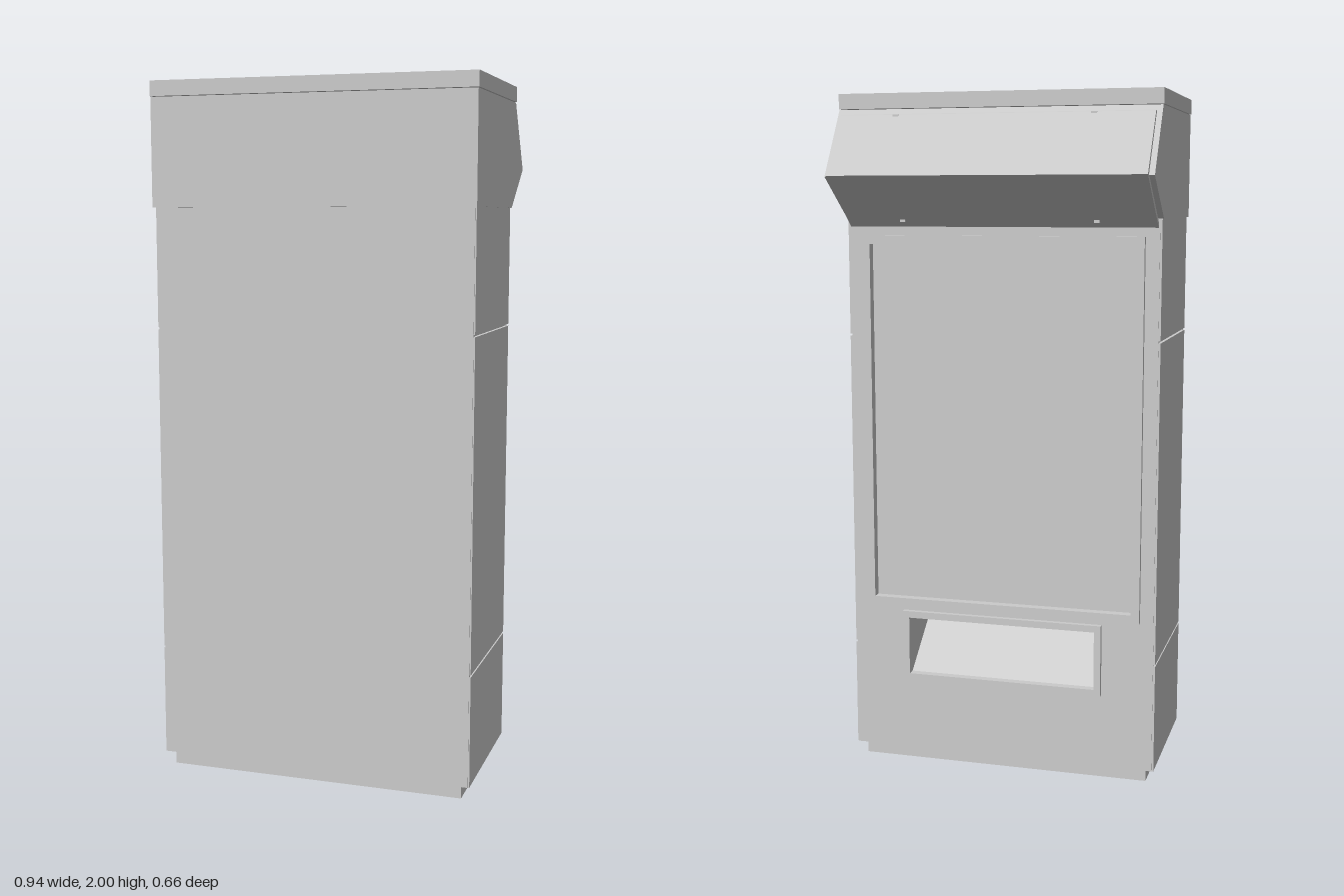
import * as THREE from 'three';

const material = new THREE.MeshStandardMaterial({ color: 0xcccccc, side: THREE.DoubleSide });

// Adds a named mesh to a group
function add(group, name, geometry) {
  const mesh = new THREE.Mesh(geometry, material);
  mesh.name = name;
  group.add(mesh);
  return mesh;
}

// Box given by its minimum and maximum corners
function box(x0, x1, y0, y1, z0, z1) {
  return new THREE.BoxGeometry(x1 - x0, y1 - y0, z1 - z0)
    .translate((x0 + x1) / 2, (y0 + y1) / 2, (z0 + z1) / 2);
}

// Side profile of [z, y] points, extruded across x
function acrossX(points, width, x = 0) {
  const shape = new THREE.Shape(points.map(([z, y]) => new THREE.Vector2(z, y)));
  return new THREE.ExtrudeGeometry(shape, { depth: width, bevelEnabled: false })
    .translate(0, 0, -width / 2).rotateY(-Math.PI / 2).translate(x, 0, 0);
}

// Centred rectangle path, half width w, between two heights
const rect = (w, y0, y1) => [[-w, y0], [w, y0], [w, y1], [-w, y1]]
  .map(([x, y]) => new THREE.Vector2(x, y));

// Upright plate with rectangular holes, from z0 to z1
function plate(outer, holes, z0, z1) {
  const shape = new THREE.Shape(rect(...outer));
  holes.forEach(h => shape.holes.push(new THREE.Path(rect(...h).reverse())));
  return new THREE.ExtrudeGeometry(shape, { depth: z1 - z0, bevelEnabled: false }).translate(0, 0, z0);
}

export function createModel() {
  const model = new THREE.Group();
  model.name = 'vendingMachine';

  const windowHole = [0.393, 0.515, 1.575];
  const slotHole = [0.285, 0.28, 0.455];

  // Hollow cabinet: plain panel on +z, serving panel on -z
  add(model, 'plainPanel', box(-0.46, 0.46, 0.04, 1.65, 0.303, 0.315));
  add(model, 'servingPanel', plate([0.458, 0.04, 1.65], [windowHole, slotHole], -0.14, -0.128));

  // Side walls, each clad in three panels separated by thin grooves
  for (const s of [-1, 1]) {
    const side = new THREE.Group();
    side.name = s > 0 ? 'leftSide' : 'rightSide';
    add(side, 'sideWall', box(-0.005, 0.005, 0.04, 1.65, -0.135, 0.31)).position.x = s * 0.45;
    for (const [y0, y1] of [[0.04, 0.36], [0.366, 1.304], [1.31, 1.65]]) {
      add(side, 'sidePanel', box(-0.005, 0.005, y0, y1, -0.138, 0.313)).position.x = s * 0.459;
    }
    model.add(side);
  }

  // Bottom rim and recessed plinth, open underneath
  const plinth = new THREE.Group();
  plinth.name = 'plinth';
  for (const s of [-1, 1]) {
    add(plinth, 'rimSide', box(-0.02, 0.02, 0.04, 0.05, -0.137, 0.312)).position.x = s * 0.44;
    add(plinth, 'plinthSide', box(-0.008, 0.008, 0, 0.045, -0.12, 0.3)).position.x = s * 0.43;
  }
  for (const [z0, z1] of [[-0.137, -0.105], [0.285, 0.312]]) {
    add(plinth, 'rimEnd', box(-0.42, 0.42, 0.04, 0.05, z0, z1));
  }
  for (const z of [-0.12, 0.285]) add(plinth, 'plinthEnd', box(-0.438, 0.438, 0, 0.045, z, z + 0.015));
  model.add(plinth);

  // Display window
  add(model, 'windowFrame', plate([0.418, 0.49, 1.6], [windowHole], -0.155, -0.138));
  add(model, 'windowPane', box(-0.4, 0.4, 0.505, 1.585, -0.128, -0.118));

  // Collection slot with a sloping tray behind it
  add(model, 'slotFrame', plate([0.305, 0.26, 0.475], [slotHole], -0.155, -0.138));
  const trayInside = [[-0.13, 0.28], [0.045, 0.42], [-0.01, 0.55], [-0.13, 0.455]];
  const trayOutside = [[-0.13, 0.465], [-0.005, 0.56], [0.056, 0.418], [-0.13, 0.268]];
  add(model, 'tray', acrossX([...trayInside, ...trayOutside], 0.57));
  for (const s of [-1, 1]) add(model, 'trayEnd', acrossX(trayInside, 0.01, s * 0.29));

  // Head with its wedge-shaped overhang, and the lid on top
  add(model, 'head', acrossX(
    [[0.328, 1.65], [-0.14, 1.65], [-0.302, 1.765], [-0.18, 1.955], [0.328, 1.955]], 0.936));
  add(model, 'lid', box(-0.47, 0.47, 1.957, 2, -0.18, 0.328));

  // Folded canopy cover standing off the overhang
  add(model, 'canopyCover', acrossX([
    [-0.2, 1.94], [-0.215, 1.937], [-0.329, 1.767], [-0.142, 1.625],
    [-0.138, 1.638], [-0.312, 1.768]], 0.908));

  // Small clips along both edges of the canopy cover
  for (const x of [-0.285, 0.285]) {
    add(model, 'upperClip', box(-0.008, 0.008, -0.006, 0.006, -0.004, 0.004)).position.set(x, 1.932, -0.214);
    add(model, 'lowerClip', box(-0.008, 0.008, -0.004, 0.004, -0.006, 0.006)).position.set(x, 1.642, -0.163);
  }
  return model;
}
